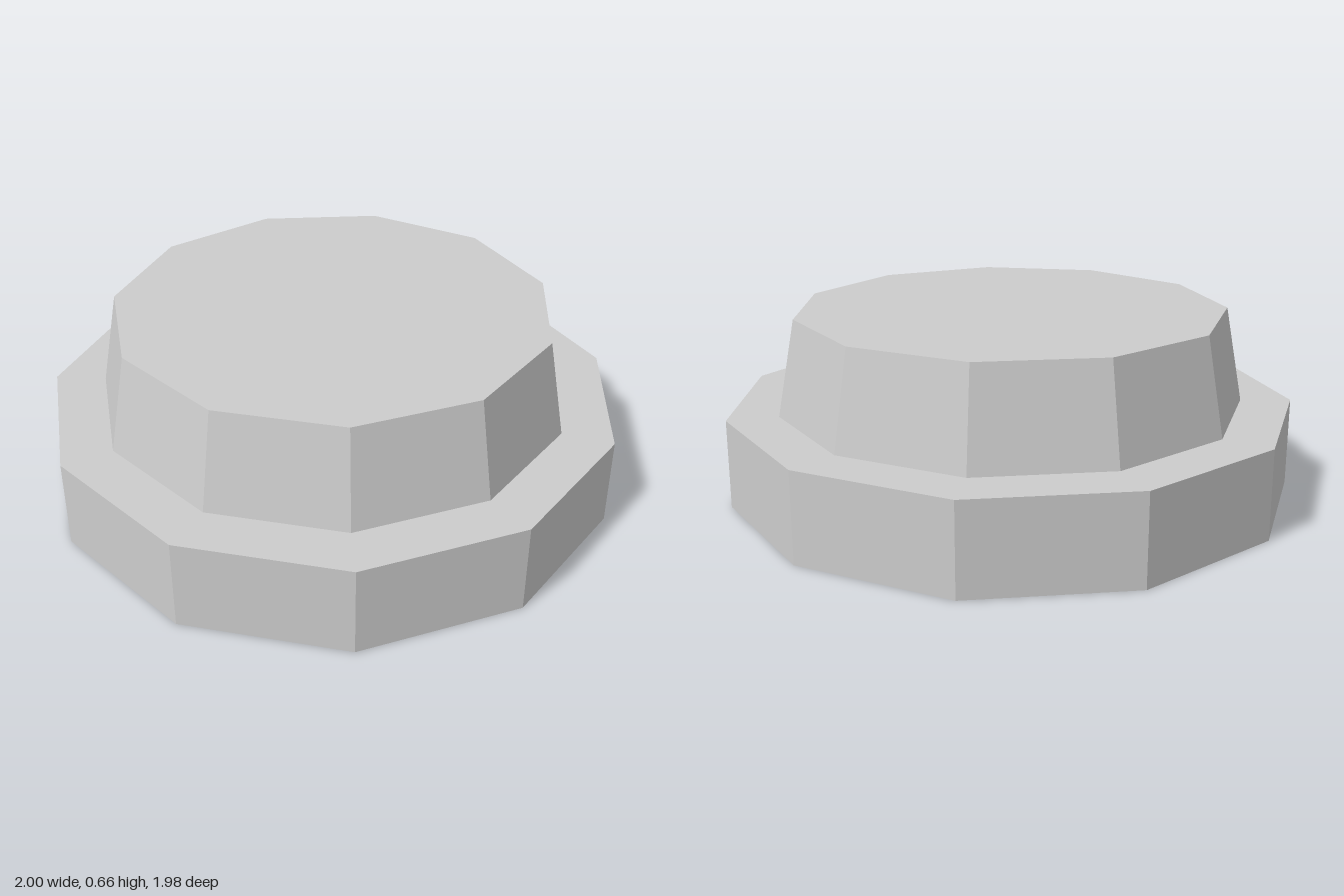
import * as THREE from 'three';

const SIDES = 11;
const CENTER_Z = 0.02; // an odd-sided ring is deeper behind its axis than in front

// Flat-shaded eleven-sided tier with one corner pointing straight back
function tier(name, topRadius, bottomRadius, y0, y1, material) {
  const geometry = new THREE.CylinderGeometry(
    topRadius, bottomRadius, y1 - y0, SIDES, 1, false, Math.PI);
  const mesh = new THREE.Mesh(geometry, material);
  mesh.name = name;
  mesh.position.set(0, (y0 + y1) / 2, CENTER_Z);
  return mesh;
}

export function createModel() {
  const gray = new THREE.MeshStandardMaterial({ color: 0xcccccc });
  gray.name = 'light gray';
  gray.flatShading = true;

  const group = new THREE.Group();
  group.name = 'steppedButton';
  group.add(
    tier('base', 1.01, 1.01, 0, 0.315, gray), // wide straight base
    tier('cap', 0.766, 0.83, 0.315, 0.655, gray), // tapered upper cap
  );
  return group;
}
